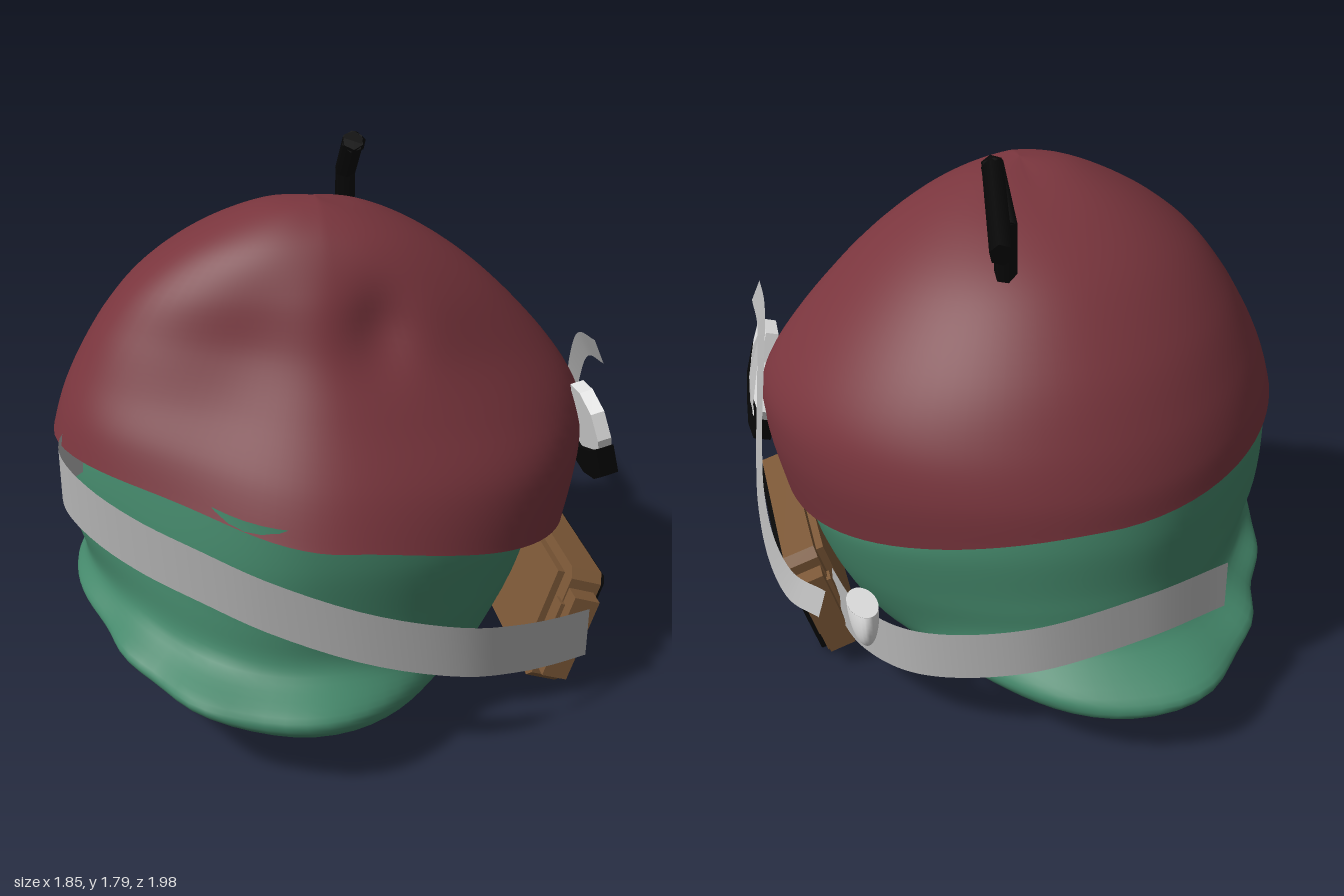
import * as THREE from 'three';

const mat = (name, color, side = THREE.FrontSide) => {
  const m = new THREE.MeshStandardMaterial({ color, side });
  m.name = name;
  return m;
};
const V = (p) => new THREE.Vector3(...p);

// Grid of vertices to smooth surface; closed grids share their seam.
function gridGeometry(rows, cols, closed, at) {
  const pos = [], idx = [];
  for (let i = 0; i < rows; i++) for (let j = 0; j < cols; j++) pos.push(...at(i, j));
  for (let i = 0; i < rows - 1; i++) {
    for (let j = 0; j < (closed ? cols : cols - 1); j++) {
      const k = (j + 1) % cols;
      const a = i * cols + j, b = i * cols + k, c = a + cols, d = b + cols;
      idx.push(a, b, c, b, d, c);
    }
  }
  const g = new THREE.BufferGeometry();
  g.setAttribute('position', new THREE.Float32BufferAttribute(pos, 3));
  g.setIndex(idx);
  g.computeVertexNormals();
  return g;
}

// Rounded body from four [radius, height] profiles, toward +x, +z, -x and -z.
// Each quadrant's diagonal is scaled by a [first, last] pair.
function loft(cx, cz, profiles, corner, adjust) {
  const curves = profiles.map((p) => new THREE.SplineCurve(p.map((q) => new THREE.Vector2(...q))));
  const rows = 48, cols = 96;
  return gridGeometry(rows + 1, cols, true, (i, j) => {
    const t = i / rows, a = (j / cols) * Math.PI * 2;
    const pair = corner[Math.floor((j / cols) * 4)];
    const scale = THREE.MathUtils.lerp(...pair, THREE.MathUtils.smoothstep(t, 0.1, 0.6));
    const c = Math.cos(a), s = Math.sin(a);
    const px = curves[c >= 0 ? 0 : 2].getPoint(t), pz = curves[s >= 0 ? 1 : 3].getPoint(t);
    const rx = Math.max(px.x, 0.001), rz = Math.max(pz.x, 0.001);
    let r = 1 / Math.sqrt((c * c) / (rx * rx) + (s * s) / (rz * rz));
    r *= 1 + (scale - 1) * Math.sin(2 * a) ** 2;
    const y = THREE.MathUtils.lerp(pz.y, px.y, Math.abs(c) ** 1.5);
    return adjust(cx + r * c, y, cz + r * s, t, a, r);
  });
}

// Flat band along a curve; across(tangent) gives its width direction.
function ribbon(points, width, across) {
  const curve = new THREE.CatmullRomCurve3(points.map(V));
  return gridGeometry(49, 2, false, (i, j) => {
    const p = curve.getPoint(i / 48);
    const w = across(curve.getTangent(i / 48));
    return p.addScaledVector(w, (j - 0.5) * width).toArray();
  });
}

// Plate drawn in the (z, y) plane and thickened along +x.
function sidePlate(points, depth) {
  const shape = new THREE.Shape(points.map(([z, y]) => new THREE.Vector2(-z, y)));
  const g = new THREE.ExtrudeGeometry(shape, { depth, bevelEnabled: false });
  return g.rotateY(Math.PI / 2);
}

export function createModel() {
  const red = mat('maroon', 0x79353d, THREE.DoubleSide);
  const green = mat('green', 0x44876a, THREE.DoubleSide);
  const grey = mat('strap grey', 0xb4b4b4, THREE.DoubleSide);
  const white = mat('white', 0xe2e2e2, THREE.DoubleSide);
  const brown = mat('brown', 0x7c5837);
  const black = mat('black', 0x060606);
  const model = new THREE.Group();
  const add = (name, geometry, material, parent = model) => {
    const m = new THREE.Mesh(geometry, material);
    m.name = name;
    parent.add(m);
    return m;
  };

  // Lopsided dome with a soft dent at the front
  add('dome', loft(-0.06, 0.15, [
    [[0, 1.67], [0.18, 1.63], [0.38, 1.53], [0.58, 1.38], [0.78, 1.17], [0.9, 0.98], [0.91, 0.8], [0.86, 0.56]],
    [[0, 1.67], [0.1, 1.66], [0.22, 1.58], [0.32, 1.43], [0.4, 1.25], [0.5, 1.1], [0.63, 0.92], [0.71, 0.77]],
    [[0, 1.67], [0.18, 1.65], [0.4, 1.55], [0.58, 1.42], [0.7, 1.28], [0.79, 1.13], [0.84, 1.02], [0.87, 0.92]],
    [[0, 1.67], [0.18, 1.62], [0.4, 1.54], [0.6, 1.42], [0.78, 1.23], [0.89, 1.05], [0.95, 0.9], [0.97, 0.79]],
  ], [[1.12, 1], [1.1, 0.88], [1, 1], [1, 1]], (x, y, z) => {
    const dent = z > 0.3 ? Math.exp(-(((x - 0.1) / 0.1) ** 2) - ((y - 1.33) / 0.12) ** 2) : 0;
    return [x, y, z - 0.04 * dent];
  }), red);

  // Body with a wavy flared brim and a hollowed underside
  add('body', loft(-0.16, 0, [
    [[0.88, 0.64], [0.9, 0.55], [0.85, 0.38], [0.77, 0.23], [0.66, 0.12], [0.52, 0.085], [0.36, 0.14], [0, 0.22]],
    [[0.81, 0.83], [0.83, 0.68], [0.83, 0.48], [0.85, 0.35], [0.98, 0.26], [0.91, 0.18], [0.6, 0.17], [0, 0.22]],
    [[0.71, 0.98], [0.745, 0.78], [0.74, 0.58], [0.7, 0.43], [0.73, 0.35], [0.66, 0.31], [0.44, 0.27], [0, 0.22]],
    [[0.75, 0.84], [0.77, 0.68], [0.77, 0.48], [0.8, 0.34], [0.99, 0.22], [0.91, 0.15], [0.6, 0.16], [0, 0.22]],
  ], [[1, 1], [0.88, 0.97], [0.93, 0.91], [0.96, 0.96]], (x, y, z, t, a, r) => {
    const k = Math.exp(-(((t - 0.57) / 0.1) ** 2));
    const wave = 0.014 * k * Math.sin(11 * a + 2 * Math.sin(3 * a));
    return [x + wave * Math.cos(a) * r - 0.05 * k * Math.sin(a) ** 2,
      y + 0.4 * wave, z + wave * Math.sin(a) * r];
  }), green);

  // Straps around the front and the back
  const up = () => new THREE.Vector3(0, 1, 0);
  add('frontStrap', ribbon([
    [-0.83, 0.88, 0.21], [-0.9, 0.86, 0.28], [-0.9, 0.84, 0.4], [-0.82, 0.79, 0.52], [-0.68, 0.73, 0.64],
    [-0.5, 0.67, 0.75], [-0.3, 0.59, 0.83], [0, 0.48, 0.88], [0.3, 0.39, 0.86], [0.5, 0.33, 0.78],
    [0.65, 0.29, 0.7], [0.79, 0.26, 0.62],
  ], 0.18, up), grey);
  add('backStrap', ribbon([
    [0.7, 0.25, -0.1], [0.64, 0.27, -0.4], [0.49, 0.31, -0.64], [0.18, 0.38, -0.81], [-0.2, 0.45, -0.83],
    [-0.5, 0.48, -0.77],
  ], 0.17, up), grey);

  // Loose curling band at the side
  const sideAxis = new THREE.Vector3(1, 0.4, 0);
  add('looseBand', ribbon([
    [0.83, 1.18, 0.4], [0.83, 1.15, 0.25], [0.86, 1.0, 0.1], [0.89, 0.82, 0], [0.91, 0.65, -0.11],
    [0.9, 0.53, -0.25], [0.86, 0.48, -0.4], [0.78, 0.51, -0.57],
  ], 0.085, (t) => t.cross(sideAxis).normalize()), grey);

  // Open ear cup, leaning with the dome: dark underside, pale rim, grey folded lining
  const cup = new THREE.Group();
  cup.name = 'upperCup';
  cup.position.set(0.84, 0.88, 0);
  cup.rotation.z = 0.27;
  model.add(cup);
  const cupPlate = (name, points, depth, x, material) => {
    add(name, sidePlate(points, depth), material, cup).position.set(x, -0.88, 0);
  };
  cupPlate('cupBase', [[0.54, 0.91], [0.53, 0.8], [0.43, 0.74], [0.3, 0.7], [0.15, 0.72], [0.12, 0.82],
    [0.3, 0.8], [0.45, 0.86]], 0.06, -0.04, black);
  cupPlate('cupRim', [[0.53, 0.93], [0.51, 1.02], [0.42, 1.06], [0.32, 1.05], [0.29, 0.95], [0.1, 0.85],
    [0.14, 0.78], [0.26, 0.76], [0.4, 0.79], [0.5, 0.86]], 0.045, -0.025, white);
  const lining = [[0.025, 0.04, 0.49], [0.025, 0.14, 0.41], [0.03, 0.05, 0.3], [0.05, -0.04, 0.11],
    [0.03, -0.085, 0.2], [0.03, -0.09, 0.3], [0.025, -0.04, 0.43]];
  const fold = new THREE.BufferGeometry().setFromPoints(
    lining.flatMap((p, i) => [[0.045, -0.01, 0.33], p, lining[(i + 1) % lining.length]].map(V)));
  fold.computeVertexNormals();
  add('cupLining', fold, grey, cup);

  // Small flattened half bowl behind the display
  const bowl = add('lowerCup', new THREE.SphereGeometry(0.14, 24, 12, 0, Math.PI * 2, Math.PI / 2, Math.PI / 2), white);
  bowl.position.set(0.64, 0.41, -0.46);
  bowl.rotation.x = 0.26;
  bowl.scale.set(0.35, 1, 1);
  const lid = add('lowerCupLid', new THREE.CircleGeometry(0.14, 24).rotateX(-Math.PI / 2), white, bowl);
  lid.position.y = 0.001;

  // Display: chamfered case, end blocks and dark screen, leaning outward
  const display = new THREE.Group();
  display.name = 'display';
  display.position.set(0.745, 0.23, 0.18);
  display.rotation.z = -0.31;
  model.add(display);
  const box = (name, x, y, z, material, px, py, pz) =>
    add(name, new THREE.BoxGeometry(x, y, z), material, display).position.set(px, py, pz);
  const outline = (hz, hy, c) => [[hz, hy - c], [hz, c - hy], [hz - c, -hy], [c - hz, -hy],
    [-hz, c - hy], [-hz, hy - c], [c - hz, hy], [hz - c, hy]];
  add('displayCase', sidePlate(outline(0.37, 0.22, 0.03), 0.11), brown, display).position.x = -0.06;
  box('displayBack', 0.03, 0.36, 0.62, brown, -0.07, 0, 0);
  add('displayScreen', sidePlate(outline(0.35, 0.205, 0.02), 0.02), black, display).position.x = 0.05;
  for (const s of [-1, 1]) {
    box('displayEnd', 0.09, 0.31, 0.09, brown, -0.01, 0, s * 0.39);
    box('displayBrace', 0.12, 0.2, 0.05, brown, -0.01, 0, s * 0.365);
  }

  // Bent antenna
  const bends = [[0.12, 1.42, -0.34], [0.12, 1.62, -0.34], [0.12, 1.755, -0.19], [0.21, 1.65, -0.63]].map(V);
  for (let i = 0; i < 3; i++) {
    const dir = bends[i + 1].clone().sub(bends[i]);
    const rod = add('antenna', new THREE.CylinderGeometry(0.037, 0.037, dir.length() + 0.02, 6), black);
    rod.position.copy(bends[i]).addScaledVector(dir, 0.5);
    rod.quaternion.setFromUnitVectors(new THREE.Vector3(0, 1, 0), dir.normalize());
  }
  return model;
}
